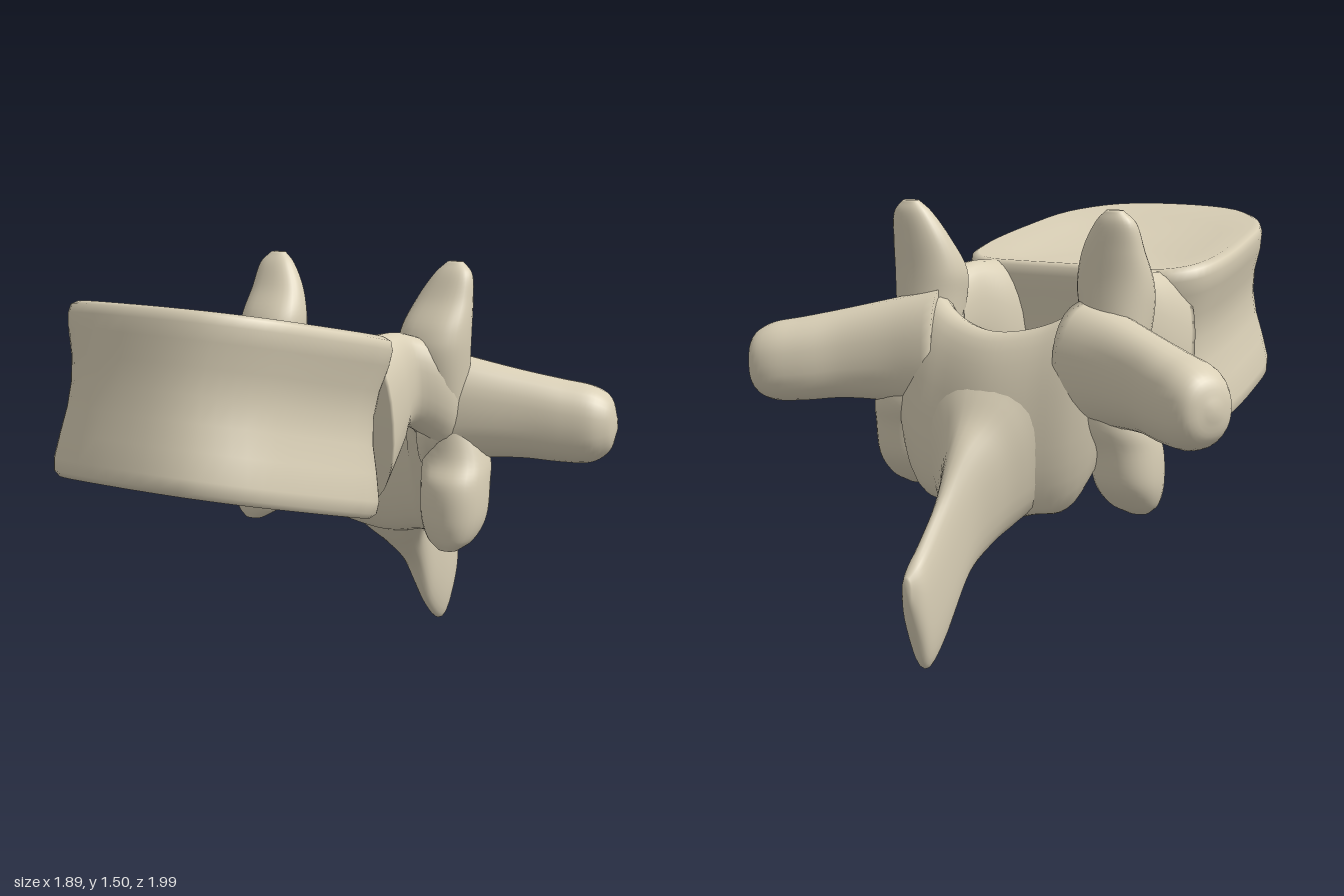
import * as THREE from 'three';

const V = (x, y, z) => new THREE.Vector3(x, y, z);
const X = V(1, 0, 0), Y = V(0, 1, 0), Z = V(0, 0, 1);

// Skin a list of rings (equal point counts) and close both ends.
function skin(rings) {
  const n = rings[0].length, pts = rings.flat(), idx = [];
  for (let i = 0; i < rings.length - 1; i++)
    for (let j = 0; j < n; j++) {
      const k = (j + 1) % n, a = i * n + j, b = i * n + k;
      idx.push(a, b, a + n, b, b + n, a + n);
    }
  [rings[0], rings[rings.length - 1]].forEach((ring, e) => {
    const c = ring.reduce((s, p) => s.add(p), V(0, 0, 0)).divideScalar(n);
    const pole = pts.push(c) - 1, base = e ? (rings.length - 1) * n : 0;
    for (let j = 0; j < n; j++) {
      const a = base + j, b = base + (j + 1) % n;
      idx.push(pole, ...(e ? [a, b] : [b, a]));
    }
  });
  // make every face point outward
  let vol = 0;
  for (let i = 0; i < idx.length; i += 3)
    vol += pts[idx[i]].dot(V(0, 0, 0).crossVectors(pts[idx[i + 1]], pts[idx[i + 2]]));
  if (vol < 0) idx.reverse();
  const g = new THREE.BufferGeometry().setFromPoints(pts);
  g.setIndex(idx);
  g.computeVertexNormals();
  return g;
}

// Smooth loft through sections [x, y, z, halfU, halfV]; frame(tangent) gives the two section axes.
function loft(sections, frame, steps = 30, sides = 28) {
  const path = new THREE.CatmullRomCurve3(sections.map(s => V(s[0], s[1], s[2])), false, 'catmullrom', 0.5);
  const size = new THREE.CatmullRomCurve3(sections.map(s => V(s[3], s[4], 0)), false, 'catmullrom', 0.5);
  const soft = x => Math.sign(x) * Math.abs(x) ** 0.88;
  const rings = [];
  for (let i = 0; i <= steps; i++) {
    const t = i / steps, c = path.getPoint(t), r = size.getPoint(t);
    const [u, v] = frame(path.getTangent(t));
    const ring = [];
    for (let j = 0; j < sides; j++) {
      const a = j / sides * Math.PI * 2;
      ring.push(c.clone().addScaledVector(u, soft(Math.cos(a)) * r.x).addScaledVector(v, soft(Math.sin(a)) * r.y));
    }
    rings.push(ring);
  }
  return skin(rings);
}

const upright = () => [X, Z];
const rearward = () => [X, Y];
const sideways = t => [V(t.z, 0, -t.x).normalize(), Y];
const leaning = t => [V(t.z, 0, -t.x).normalize(), V(0, 1, 0.12)];

// Weight-bearing body: D-shaped outline, waisted sides, dished end plates
function bodyGeometry() {
  const half = [[0.22, 0.005], [0.39, 0.015], [0.48, 0.09], [0.51, 0.22], [0.49, 0.48],
    [0.435, 0.70], [0.28, 0.845]];
  const outline = new THREE.CatmullRomCurve3([
    V(0, 0, 0.01), ...half.map(p => V(p[0], 0, p[1])), V(0, 0, 0.89),
    ...half.slice().reverse().map(p => V(-p[0], 0, p[1]))], true, 'centripetal').getPoints(64).slice(0, 64);
  // [height fraction, x scale, z scale, end-plate dish]
  const levels = [[0, 0.3, 0.3, 0.03], [0, 0.7, 0.7, 0.02], [0, 0.94, 0.95, 0], [0.03, 0.975, 0.99, 0],
    [0.1, 0.985, 1, 0], [0.25, 0.95, 0.99, 0], [0.4, 0.905, 0.98, 0], [0.55, 0.89, 0.975, 0],
    [0.7, 0.92, 0.98, 0], [0.84, 0.98, 0.995, 0], [0.93, 1, 1, 0], [0.98, 0.985, 0.99, 0],
    [1, 0.94, 0.95, 0], [1, 0.7, 0.7, -0.025], [1, 0.3, 0.3, -0.04]];
  return skin(levels.map(([t, sx, sz, dish]) => outline.map(p => {
    const z0 = 0.45 + (p.z - 0.45) * sz;
    const z = THREE.MathUtils.lerp(0.07 + z0 * 1.045, z0, t);
    const y = THREE.MathUtils.lerp(0.61 + 0.225 * z, 1.25 + 0.185 * z, t);
    return V(p.x * sx, y + dish, z);
  })));
}

export function createModel() {
  const model = new THREE.Group();
  model.name = 'vertebra';
  const bone = new THREE.MeshStandardMaterial({ color: 0xd9cfb6 });
  bone.name = 'bone';
  const add = (name, geometry) => {
    const m = new THREE.Mesh(geometry, bone);
    m.name = name;
    model.add(m);
  };
  // build the left part and its mirrored right twin
  const addPair = (name, sections, frame) => {
    add('left' + name, loft(sections, frame));
    add('right' + name, loft(sections.map(([x, ...r]) => [-x, ...r]), frame));
  };

  add('body', bodyGeometry());

  // Neural arch: pedicle, lamina, midline and back again in one sweep around the canal
  const halfArch = [
    [0.335, 0.96, 0.09, 0.14, 0.28], [0.335, 1.03, -0.03, 0.115, 0.225], [0.342, 1.085, -0.15, 0.08, 0.17],
    [0.37, 1.0, -0.3, 0.12, 0.21], [0.3, 0.84, -0.41, 0.105, 0.33], [0.17, 0.78, -0.46, 0.09, 0.32]];
  add('neuralArch', loft([...halfArch, [0, 0.75, -0.49, 0.09, 0.32],
    ...halfArch.slice().reverse().map(([x, ...r]) => [-x, ...r])], leaning, 72));

  // Rear spine: broad root narrowing to a tall thin blade, as [z, top, bottom, half width]
  const blade = [[-0.45, 0.96, 0.56, 0.3], [-0.5, 0.95, 0.46, 0.29], [-0.56, 0.88, 0.39, 0.205],
    [-0.62, 0.8, 0.335, 0.135], [-0.7, 0.71, 0.25, 0.075], [-0.8, 0.56, 0.08, 0.046], [-0.9, 0.44, 0, 0.044],
    [-0.96, 0.375, 0.12, 0.04], [-1, 0.33, 0.26, 0.015]];
  add('rearSpine', loft(blade.map(([z, top, low, w]) =>
    [0, (top + low) / 2, z, w, (top - low) / 2]), rearward, 48));

  // Side wings: blunt arms reaching out and back from a flared root
  addPair('SideWing', [
    [0.3, 0.97, -0.36, 0.15, 0.22], [0.46, 0.965, -0.42, 0.125, 0.185], [0.62, 0.95, -0.495, 0.113, 0.16],
    [0.75, 0.93, -0.565, 0.12, 0.15], [0.85, 0.92, -0.615, 0.118, 0.138],
    [0.91, 0.92, -0.64, 0.085, 0.095], [0.932, 0.92, -0.65, 0.02, 0.02]], sideways);

  // Upper joints: upright tapering horns
  addPair('UpperJoint', [
    [0.38, 0.93, -0.33, 0.1, 0.1], [0.38, 1.14, -0.30, 0.125, 0.115], [0.378, 1.25, -0.305, 0.132, 0.105],
    [0.39, 1.36, -0.34, 0.11, 0.07], [0.41, 1.45, -0.362, 0.075, 0.045],
    [0.412, 1.495, -0.372, 0.03, 0.02]], upright);

  // Lower joints: rounded knuckles hanging below
  addPair('LowerJoint', [
    [0.37, 0.98, -0.37, 0.11, 0.09], [0.42, 0.8, -0.38, 0.125, 0.11], [0.445, 0.7, -0.345, 0.12, 0.125],
    [0.45, 0.58, -0.33, 0.115, 0.115], [0.455, 0.5, -0.305, 0.085, 0.075],
    [0.46, 0.46, -0.28, 0.035, 0.03]], upright);

  return model;
}
